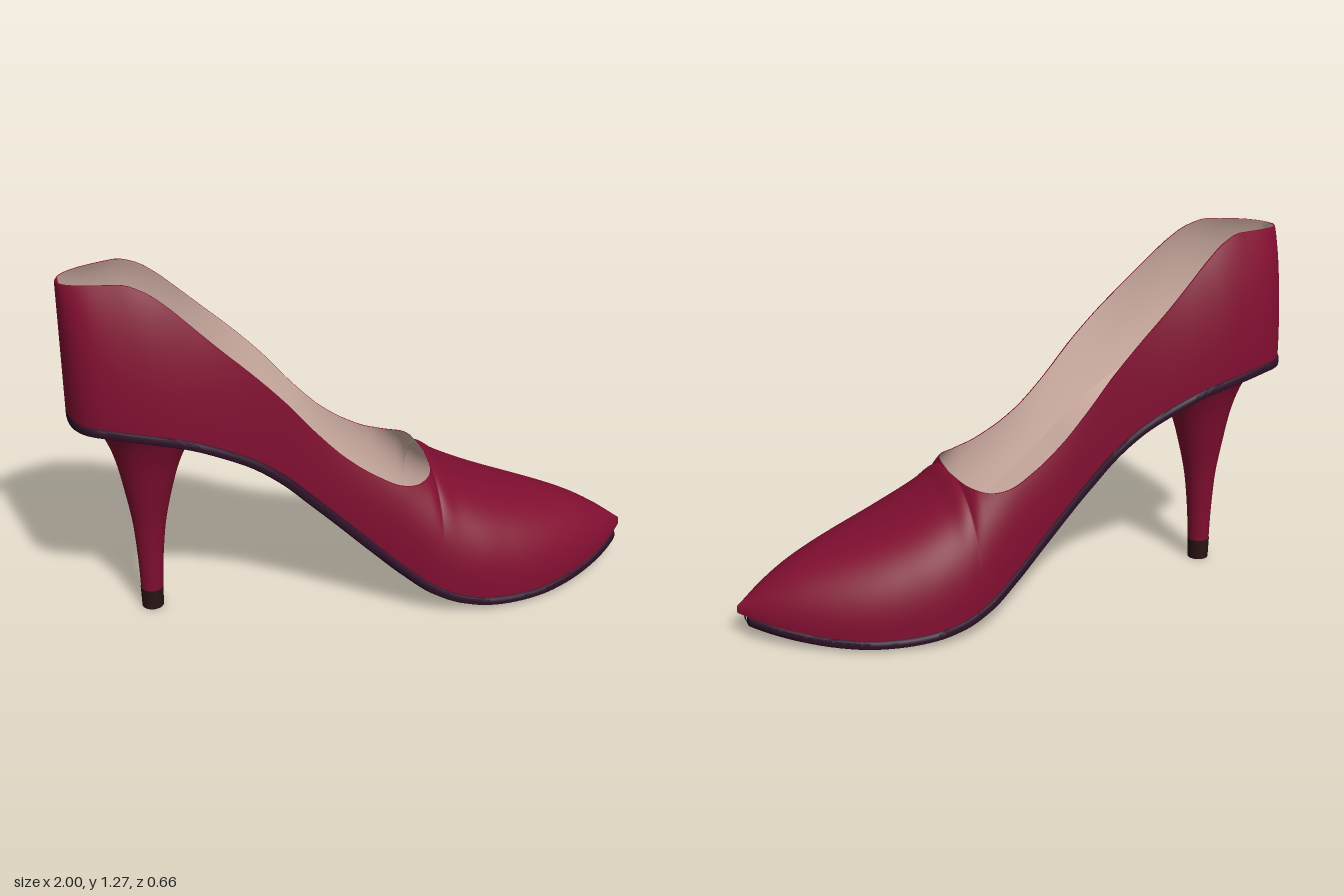
import * as THREE from 'three';
import { mergeGeometries, mergeVertices, toCreasedNormals } from 'three/addons/utils/BufferGeometryUtils.js';

// Smooth monotone interpolation through [x, value] pairs
function curve(p) {
  const d = p.slice(1).map((q, i) => (q[1] - p[i][1]) / (q[0] - p[i][0]));
  const m = p.map((_, i) => {
    if (i === 0) return d[0];
    if (i === d.length) return d[i - 1];
    return d[i - 1] * d[i] <= 0 ? 0 : (2 * d[i - 1] * d[i]) / (d[i - 1] + d[i]);
  });
  return (x) => {
    let i = 0;
    while (i < p.length - 2 && x > p[i + 1][0]) i++;
    const h = p[i + 1][0] - p[i][0];
    const t = Math.min(1, Math.max(0, (x - p[i][0]) / h));
    const t2 = t * t, t3 = t2 * t;
    return (2 * t3 - 3 * t2 + 1) * p[i][1] + (t3 - 2 * t2 + t) * h * m[i]
      + (3 * t2 - 2 * t3) * p[i + 1][1] + (t3 - t2) * h * m[i + 1];
  };
}

const THROAT = 0.235; // front end of the foot opening

// Height of the footbed along the shoe
const bed = curve([[-1, 0.81], [-0.9, 0.808], [-0.8, 0.795], [-0.7, 0.775], [-0.6, 0.745], [-0.5, 0.7],
  [-0.4, 0.645], [-0.3, 0.57], [-0.2, 0.475], [-0.1, 0.38], [0, 0.285], [0.1, 0.195], [0.2, 0.12],
  [0.3, 0.075], [0.4, 0.053], [0.5, 0.043], [0.6, 0.041], [0.7, 0.046], [0.8, 0.056], [0.9, 0.071], [1, 0.09]]);
// Height of the rim, then of the toe ridge
const top = curve([[-1, 1.258], [-0.9, 1.265], [-0.8, 1.268], [-0.73, 1.245], [-0.65, 1.185], [-0.6, 1.137],
  [-0.5, 1.04], [-0.4, 0.945], [-0.3, 0.84], [-0.2, 0.72], [-0.1, 0.615], [0, 0.54], [0.1, 0.49],
  [0.16, 0.48], [THROAT, 0.49], [0.3, 0.447], [0.4, 0.393], [0.5, 0.35], [0.6, 0.315], [0.7, 0.282],
  [0.8, 0.243], [0.9, 0.187], [1, 0.115]]);
// Half width of the sole
const width = curve([[-1, 0], [-0.996, 0.065], [-0.98, 0.122], [-0.95, 0.167], [-0.9, 0.2], [-0.8, 0.228],
  [-0.7, 0.24], [-0.6, 0.239], [-0.5, 0.231], [-0.4, 0.222], [-0.3, 0.218], [-0.2, 0.223], [-0.1, 0.238],
  [0, 0.258], [0.1, 0.283], [0.2, 0.31], [0.3, 0.326], [0.37, 0.329], [0.5, 0.313], [0.6, 0.288],
  [0.7, 0.247], [0.8, 0.19], [0.9, 0.115], [0.96, 0.056], [1, 0.01]]);
// Half width of the foot opening
const opening = curve([[-1, 0], [-0.985, 0.04], [-0.95, 0.07], [-0.9, 0.092], [-0.8, 0.12], [-0.7, 0.15],
  [-0.6, 0.172], [-0.5, 0.188], [-0.4, 0.196], [-0.3, 0.2], [-0.2, 0.203], [-0.1, 0.21], [0, 0.222],
  [0.1, 0.233], [0.15, 0.222], [0.2, 0.185], [0.225, 0.125], [THROAT, 0]]);
// Squareness of the upper's cross-section
const squareness = curve([[-1, 2], [-0.3, 2], [0.1, 2.5], [0.4, 2.5], [0.8, 2], [1, 1.8]]);

const soleBottom = (x) => {
  const slope = (bed(x + 0.01) - bed(x - 0.01)) / 0.02;
  return bed(x) - 0.036 * Math.sqrt(1 + slope * slope);
};

// Stations along x, closer together at both ends
const stations = (a, b, n) =>
  Array.from({ length: n + 1 }, (_, i) => a + ((b - a) * (1 - Math.cos((Math.PI * i) / n))) / 2);
const backX = stations(-1, THROAT, 64);
const allX = [...backX, ...stations(THROAT, 1, 40).slice(1)];

// Grid of points f(u, v) over a list of u values and v = 0..n
function grid(us, n, f, flip) {
  const pos = [], idx = [];
  us.forEach((u, i) => {
    for (let j = 0; j <= n; j++) {
      pos.push(...f(u, j));
      if (i && j) {
        const d = i * (n + 1) + j, b = d - n - 1, c = d - 1, a = b - 1;
        idx.push(...(flip ? [a, b, c, c, b, d] : [a, c, b, c, d, b]));
      }
    }
  });
  const g = new THREE.BufferGeometry();
  g.setAttribute('position', new THREE.Float32BufferAttribute(pos, 3));
  g.setIndex(idx);
  return g;
}

// Two mirrored half surfaces welded along the middle
function mirrored(us, n, f, flip = false) {
  const other = (u, j) => { const [x, y, z] = f(u, j); return [x, y, -z]; };
  const g = mergeVertices(mergeGeometries([grid(us, n, f, flip), grid(us, n, other, !flip)]), 1e-4);
  g.computeVertexNormals();
  return g;
}

// Side wall of the upper, from footbed (j = 0) to rim or ridge (j = n)
function wall(x, j, n, inset) {
  const w = Math.max(0, width(x) - 0.007 - inset);
  const open = x <= THROAT;
  const r = open ? Math.max(0, Math.min(opening(x) - inset * 0.5, 0.97 * w)) : 0;
  const k = squareness(x), ratio = w > 0 ? r / w : 0;
  const h = (top(x) - (open ? 0 : inset) - bed(x)) / Math.pow(1 - Math.pow(ratio, k), 1 / k);
  const a = (Math.acos(Math.pow(ratio, k / 2)) * j) / n;
  return [inset ? Math.max(x, -0.988) : x,
    bed(x) + h * Math.pow(Math.sin(a), 2 / k), w * Math.pow(Math.max(0, Math.cos(a)), 2 / k)];
}

export function createModel() {
  const group = new THREE.Group();
  const mat = (name, color, side = THREE.FrontSide) => {
    const m = new THREE.MeshStandardMaterial({ color, side });
    m.name = name;
    return m;
  };
  const red = mat('burgundy leather', 0x800e30, THREE.DoubleSide);
  const beige = mat('beige lining', 0xdfbcb0);
  const plum = mat('dark plum sole', 0x2d1026);
  const brown = mat('dark brown rubber', 0x281412);
  const add = (name, geometry, material) => {
    const m = new THREE.Mesh(geometry, material);
    m.name = name;
    group.add(m);
  };

  // Upper, lining and the thin edge joining them
  const N = 20, T = 0.012;
  add('upper', mirrored(allX, N, (x, j) => wall(x, j, N, 0)), red);
  add('lining', mirrored(allX.filter((x) => x < 0.93), N, (x, j) => wall(x, j, N, T), true), beige);
  add('rimEdge', mirrored(backX, 1, (x, j) => wall(x, N, N, j * T)), red);

  // Insole just above the footbed
  add('insole', mirrored(allX.filter((x) => x < 0.93), 2, (x, j) =>
    [Math.max(x, -0.985), bed(x) + 0.006, Math.max(0, width(x) - 0.015) * (1 - j / 2)]), beige);

  // Outsole with a rounded edge: [side offset, height from bottom to top]
  const edge = [[null, 0], [-0.014, 0], [0, 0.22], [0.003, 0.55], [0, 0.85], [-0.008, 1], [null, 1]];
  const sole = mirrored(allX, edge.length - 1, (x, j) => {
    const [off, t] = edge[j], w = width(x);
    const y = soleBottom(x) + (bed(x) - soleBottom(x)) * t;
    return [Math.min(x, 0.97), y, off === null ? 0 : Math.max(0, w + Math.min(off, w))];
  });
  add('outsole', toCreasedNormals(sole, 0.7), plum);

  // Heel: ellipses running up into the sole
  const back = curve([[0, -0.793], [0.1, -0.794], [0.3, -0.803], [0.5, -0.832], [0.6, -0.853], [0.7, -0.89], [0.74, -0.92], [0.78, -0.96]]);
  const front = curve([[0, -0.717], [0.1, -0.714], [0.3, -0.697], [0.5, -0.655], [0.6, -0.622], [0.7, -0.565], [0.74, -0.54], [0.78, -0.52]]);
  const depth = curve([[0, 0.038], [0.1, 0.04], [0.3, 0.052], [0.5, 0.086], [0.6, 0.108], [0.7, 0.143], [0.74, 0.163], [0.78, 0.185]]);
  const S = 40;
  const heelPoint = (y, j) => {
    const a = (j / S) * Math.PI * 2;
    const x = (back(y) + front(y)) / 2 + ((front(y) - back(y)) / 2) * Math.cos(a);
    return [x, Math.min(y, soleBottom(x) + 0.008), depth(y) * Math.sin(a)];
  };
  const levels = Array.from({ length: 31 }, (_, i) => 0.075 + (0.705 * i) / 30);
  const heel = mergeVertices(grid(levels, S, heelPoint, false), 1e-4);
  heel.computeVertexNormals();
  add('heel', heel, red);

  // Heel tip
  const tip = new THREE.CylinderGeometry(0.04, 0.038, 0.076, S);
  tip.translate(-0.755, 0.038, 0);
  add('heelTip', tip, brown);

  return group;
}
